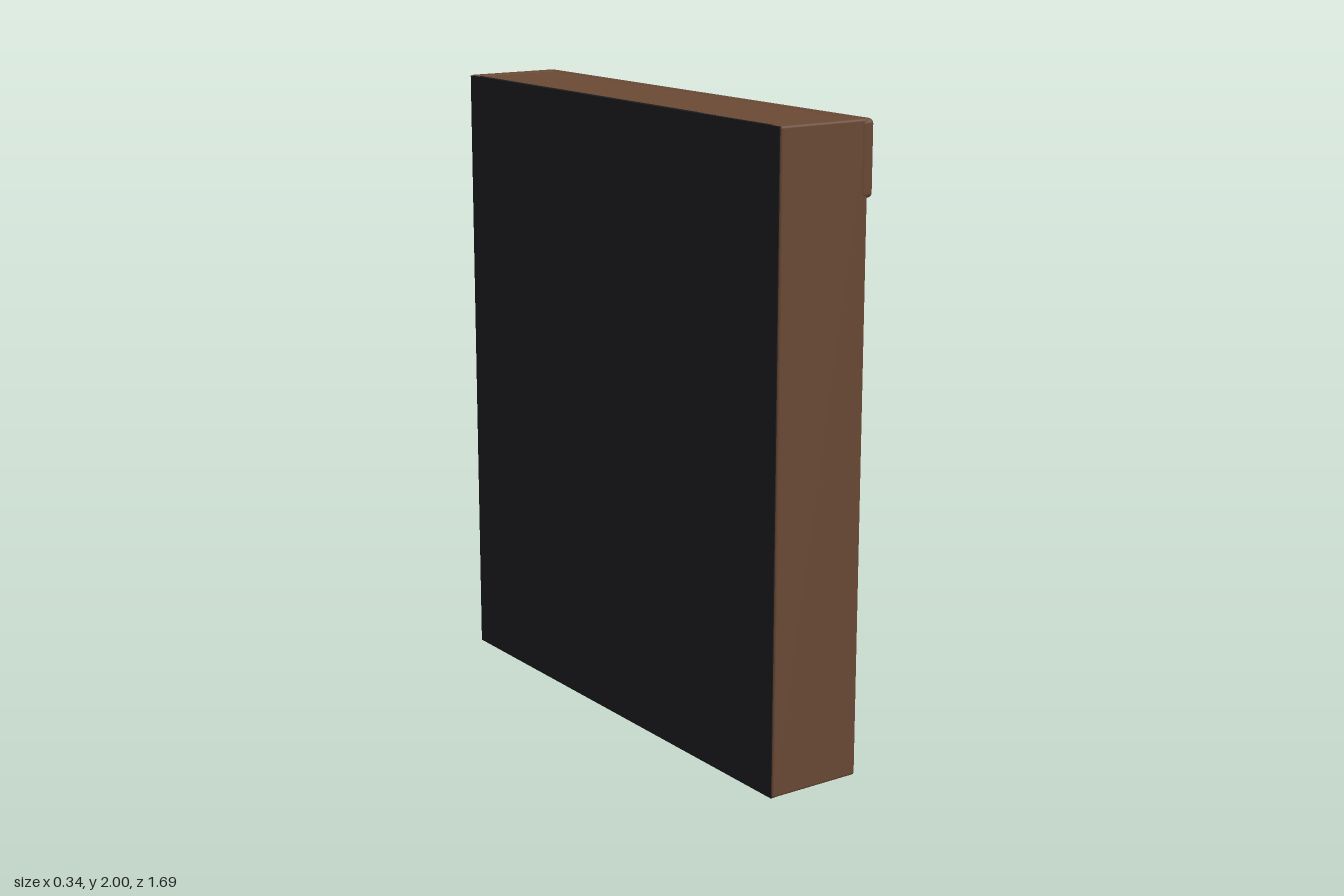
import * as THREE from 'three';
import { RoundedBoxGeometry } from 'three/addons/geometries/RoundedBoxGeometry.js';

const mat = (color) => new THREE.MeshStandardMaterial({ color });
const wood = mat(0x6a4935), black = mat(0x1c1c20), tan = mat(0xb8945c), cream = mat(0xd9d0b9);
const produce = {
  red: mat(0xb52b38), green: mat(0x409a4a), orange: mat(0xdb772b),
  blue: mat(0x3b76c4), pink: mat(0xd2528a), yellow: mat(0xdab232),
};

// Box given by its limits on each axis; r > 0 softens the edges
function box(name, material, [x0, x1], [y0, y1], [z0, z1], r = 0) {
  const size = [x1 - x0, y1 - y0, z1 - z0];
  const geo = r ? new RoundedBoxGeometry(...size, 2, r) : new THREE.BoxGeometry(...size);
  const mesh = new THREE.Mesh(geo, material);
  mesh.name = name;
  mesh.position.set((x0 + x1) / 2, (y0 + y1) / 2, (z0 + z1) / 2);
  return mesh;
}

let seed = 7;
function jitter(amount) {
  seed = (seed * 16807) % 2147483647;
  return (seed / 2147483647 - 0.5) * 2 * amount;
}

const ball = new THREE.SphereGeometry(1, 20, 14);
const heap = [[0.045, 0.075], [0.05, -0.07], [0.0, 0.0], [-0.07, 0.07], [-0.065, -0.075]];

// Crate: low front board, coloured filling and a heap of flattened fruit
function crate(color, shelfTop, heapTop, z) {
  const g = new THREE.Group();
  g.name = 'crate';
  const fillTop = heapTop - 0.047;
  g.add(box('crateFront', tan, [0.085, 0.1], [shelfTop, shelfTop + 0.07], [z - 0.135, z + 0.135]));
  g.add(box('crateFilling', produce[color], [-0.14, 0.09], [shelfTop, fillTop], [z - 0.125, z + 0.125]));
  for (const [dx, dz] of heap) {
    const fruit = new THREE.Mesh(ball, produce[color]);
    fruit.name = 'fruit';
    const ry = 0.035 + jitter(0.003);
    fruit.scale.set(0.075, ry, 0.078);
    // the middle fruit rises to the top of the heap
    const y = heapTop - ry - (dz === 0 ? 0 : 0.006 + jitter(0.004));
    fruit.position.set(dx + jitter(0.01), y, z + dz + jitter(0.005));
    g.add(fruit);
  }
  return g;
}

export function createModel() {
  const model = new THREE.Group();
  model.name = 'produceShelf';

  // Carcass
  model.add(box('backPanel', black, [-0.174, -0.155], [0, 1.998], [-0.84, 0.84]));
  for (const s of [-1, 1]) {
    const side = box('sidePanel', wood, [-0.172, 0.145], [0, 2], [-0.025, 0.025], 0.008);
    side.position.z = s * 0.82;
    model.add(side);
  }
  model.add(box('topPanel', wood, [-0.16, 0.14], [1.95, 1.998], [-0.8, 0.8]));

  // Header with a blank sign
  model.add(box('header', wood, [0.115, 0.166], [1.77, 2], [-0.847, 0.847], 0.016));
  model.add(box('signPanel', cream, [0.15, 0.171], [1.835, 1.935], [-0.75, 0.75]));

  // Shelves: top height, then crates from +z to -z with the heap heights
  const rows = [
    [1.435, ['red', 1.58], ['green', 1.555], ['orange', 1.59], ['green', 1.57], ['blue', 1.567]],
    [1.075, ['yellow', 1.23], ['orange', 1.217], ['pink', 1.213], ['red', 1.23], ['blue', 1.225]],
    [0.713, ['green', 0.865], ['red', 0.885], ['green', 0.888], ['blue', 0.876], ['pink', 0.885]],
    [0.352, ['orange', 0.498], ['green', 0.478], ['yellow', 0.518], ['pink', 0.508], ['orange', 0.483]],
  ];
  for (const [top, ...crates] of rows) {
    model.add(box('shelf', wood, [-0.16, 0.12], [top - 0.03, top], [-0.8, 0.8], 0.006));
    crates.forEach(([color, heapTop], i) => model.add(crate(color, top, heapTop, (2 - i) * 0.34)));
  }

  // Rail below the lowest shelf
  const rail = new THREE.Mesh(new THREE.CylinderGeometry(0.009, 0.009, 1.6, 12), tan);
  rail.name = 'rail';
  rail.rotation.x = Math.PI / 2;
  rail.position.set(0.11, 0.203, 0);
  model.add(rail);

  return model;
}
